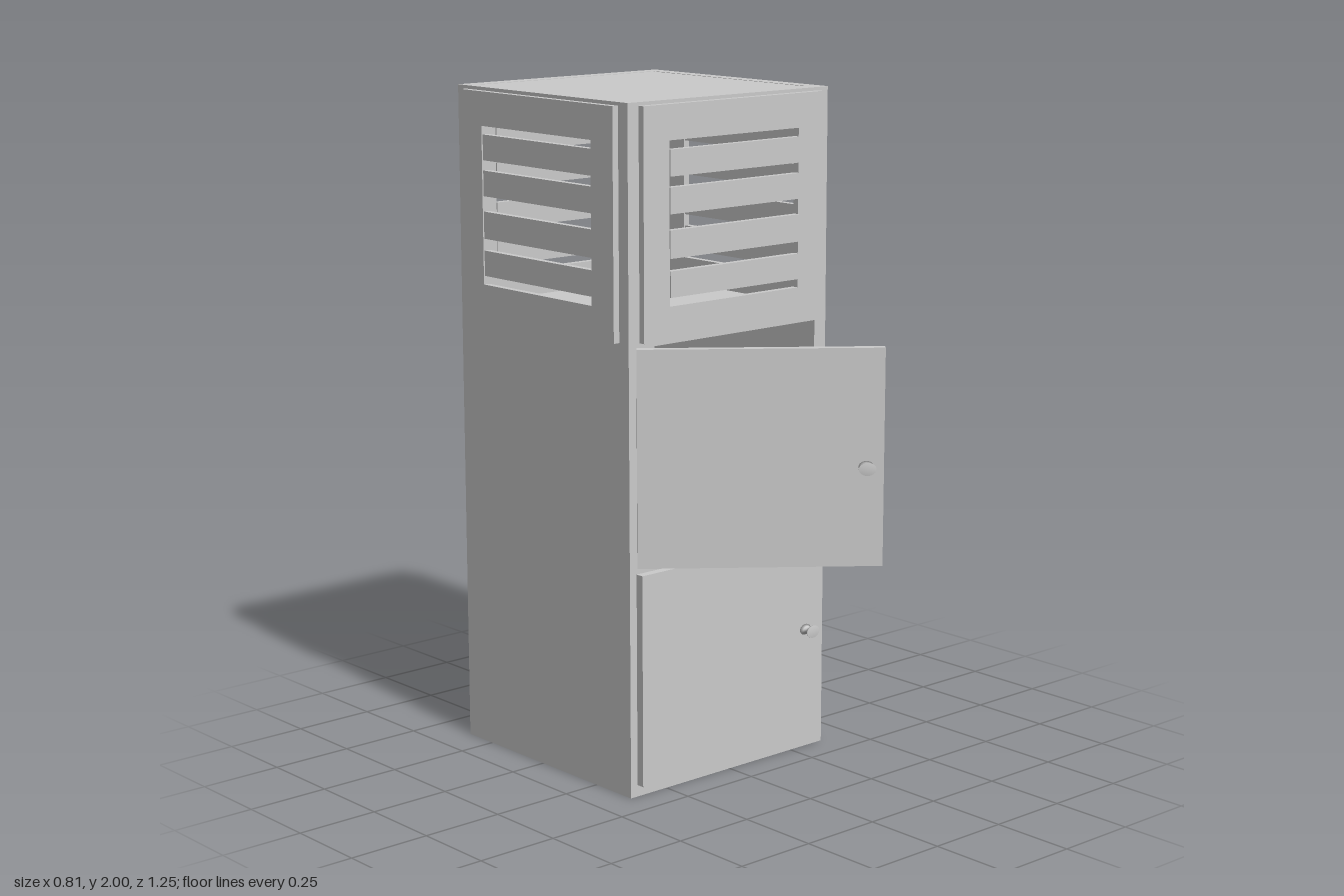
import * as THREE from 'three';

const mat = new THREE.MeshStandardMaterial({ color: 0xcccccc });
const W = 0.765, H = 2, T = 0.045, HALF = W / 2;

function mesh(name, geometry, parent) {
  const m = new THREE.Mesh(geometry, mat);
  m.name = name;
  parent.add(m);
  return m;
}

// Box given by its minimum and maximum corners
function box(name, parent, x0, x1, y0, y1, z0, z1) {
  const m = mesh(name, new THREE.BoxGeometry(x1 - x0, y1 - y0, z1 - z0), parent);
  m.position.set((x0 + x1) / 2, (y0 + y1) / 2, (z0 + z1) / 2);
  return m;
}

function rect(path, x0, x1, y0, y1) {
  path.moveTo(x0, y0);
  path.lineTo(x1, y0);
  path.lineTo(x1, y1);
  path.lineTo(x0, y1);
  path.closePath();
  return path;
}

// Flat sheet with rectangular holes, its back at z = 0
function sheet(outer, holes, depth) {
  const shape = rect(new THREE.Shape(), ...outer);
  for (const h of holes) shape.holes.push(rect(new THREE.Path(), ...h));
  return new THREE.ExtrudeGeometry(shape, { depth, bevelEnabled: false });
}

// Framed vent cover; slatShift moves the slats outward or inward
function ventPanel(name, slatShift) {
  const g = new THREE.Group();
  g.name = name;
  mesh('ventFrame', sheet([-0.3425, 0.3425, 1.33, 1.99], [[-0.2475, 0.2475, 1.425, 1.89]], 0.02), g);
  const slats = [[1.45, 1.525], [1.56, 1.64], [1.685, 1.76], [1.79, 1.865]];
  for (const [y0, y1] of slats) {
    box('ventSlat', g, -0.2475, 0.2475, y0, y1, slatShift, 0.02 + slatShift);
  }
  return g;
}

// Door hinged at its back left corner, with a waisted oval knob
function door(name, knobY) {
  const g = new THREE.Group();
  g.name = name;
  box('doorPanel', g, 0, 0.695, 0, 0.63, 0, 0.025);
  const profile = [[0, 0], [0.022, 0], [0.014, 0.007], [0.011, 0.014], [0.013, 0.021], [0.025, 0.032], [0.025, 0.035], [0, 0.035]]
    .map(([r, y]) => new THREE.Vector2(r, y));
  const knob = mesh('doorKnob', new THREE.LatheGeometry(profile, 24), g);
  knob.rotation.x = Math.PI / 2;
  knob.scale.z = 0.75;
  knob.position.set(0.645, knobY, 0.025);
  return g;
}

export function createModel() {
  const root = new THREE.Group();
  root.name = 'ventilatedCabinet';

  const cabinet = new THREE.Group();
  cabinet.name = 'cabinet';
  cabinet.position.set(-0.0025, 0, -0.2275);
  root.add(cabinet);

  // Walls and vent covers, one per side: front, left, back, right
  const IN = HALF - T;
  const ventHole = [-IN, IN, 1.345, 1.955];
  const doorHole = [-IN, IN, 0.06, 1.315];
  ['front', 'left', 'back', 'right'].forEach((side, i) => {
    const g = new THREE.Group();
    g.name = side + 'Side';
    g.rotation.y = i * Math.PI / 2;
    const half = i % 2 ? IN : HALF;
    const hole = i % 2 ? [-IN + 0.001, IN - 0.001, 1.345, 1.955] : ventHole;
    const wall = mesh(side + 'Wall', sheet([-half, half, 0, H], i === 0 ? [hole, doorHole] : [hole], T), g);
    wall.position.z = HALF - T;
    const panel = ventPanel(side + 'Vent', i < 2 ? 0.004 : -0.004);
    panel.position.z = HALF;
    g.add(panel);
    cabinet.add(g);
  });

  // Horizontal boards
  for (const [name, y0, y1] of [['base', 0.001, 0.045], ['middleShelf', 0.645, 0.69], ['ventFloor', 1.315, 1.345], ['roof', 1.955, 1.999]]) {
    box(name, cabinet, -IN, IN, y0, y1, -IN, name === 'middleShelf' ? IN + 0.03 : IN);
  }

  // Closed lower door and open upper door
  const lower = door('lowerDoor', 0.345);
  lower.position.set(-0.36, 0.035, 0.155);
  const upper = door('upperDoor', 0.29);
  upper.position.set(-0.358, 0.688, 0.156);
  upper.rotation.y = -THREE.MathUtils.degToRad(39);
  root.add(lower, upper);

  return root;
}
